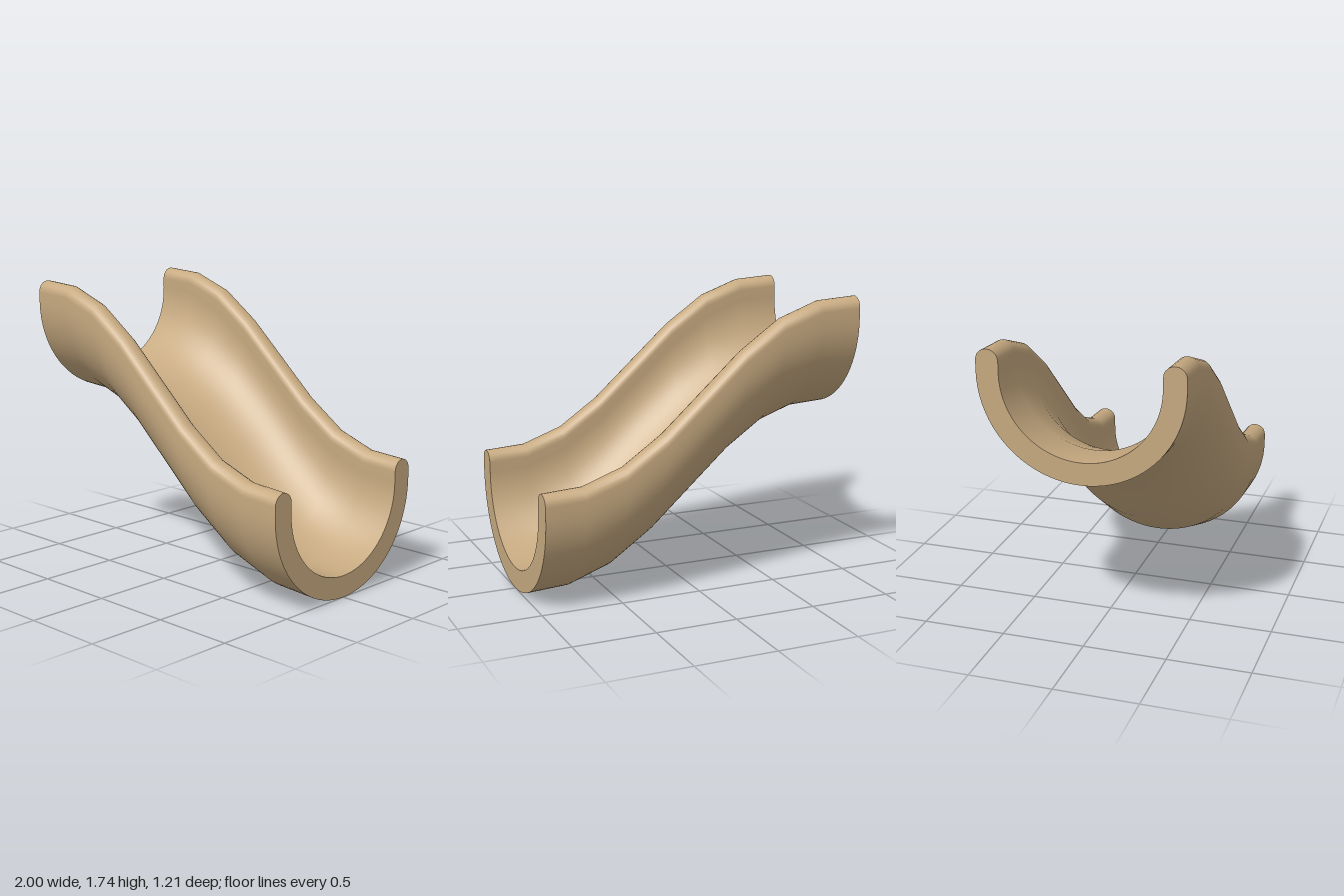
import * as THREE from 'three';

const OUTER = 0.604, INNER = 0.47, CENTRE = 0.606, STRAIGHT = 0.067;

// Height of the channel at nine stations, from the high end to the low end
const DROP = [1.005, 0.99, 0.9, 0.727, 0.5025, 0.278, 0.105, 0.015, 0];

// Closed U-shaped cross-section with rounded rims, counter-clockwise
function channelProfile() {
  const points = [];
  const arc = (cx, cy, r, from, to, n) => {
    for (let i = 0; i <= n; i++) {
      const a = from + ((to - from) * i) / n;
      points.push(new THREE.Vector2(cx + r * Math.cos(a), cy + r * Math.sin(a)));
    }
  };
  const rim = (OUTER + INNER) / 2, rimRadius = (OUTER - INNER) / 2;
  arc(0, CENTRE, OUTER, Math.PI, Math.PI * 2, 40);
  arc(rim, CENTRE + STRAIGHT, rimRadius, 0, Math.PI, 10);
  arc(0, CENTRE, INNER, 0, -Math.PI, 40);
  arc(-rim, CENTRE + STRAIGHT, rimRadius, 0, Math.PI, 10);
  return points;
}

// Sweep the section along the S-curve, keeping it upright
function sweepChannel(profile) {
  const n = profile.length, position = [], index = [];
  DROP.forEach((drop, i) => {
    const x = -1 + (2 * i) / (DROP.length - 1);
    for (const p of profile) position.push(x, p.y + drop, -p.x);
  });
  for (let i = 0; i < DROP.length - 1; i++) {
    for (let j = 0; j < n; j++) {
      const a = i * n + j, b = i * n + ((j + 1) % n);
      index.push(a, b, b + n, a, b + n, a + n);
    }
  }
  const geometry = new THREE.BufferGeometry();
  geometry.setAttribute('position', new THREE.Float32BufferAttribute(position, 3));
  geometry.setIndex(index);
  geometry.computeVertexNormals();
  return geometry;
}

export function createModel() {
  const group = new THREE.Group();
  group.name = 'curvedChannel';
  const tan = new THREE.MeshStandardMaterial({ color: 0xc6a980 });
  tan.name = 'tan';
  const profile = channelProfile();

  const add = (name, geometry) => {
    const mesh = new THREE.Mesh(geometry, tan);
    mesh.name = name;
    group.add(mesh);
    return mesh;
  };

  add('channel', sweepChannel(profile));

  // Flat end faces
  const face = new THREE.ShapeGeometry(new THREE.Shape(profile));
  const low = add('lowEnd', face);
  low.rotation.y = Math.PI / 2;
  low.position.x = 1;
  const high = add('highEnd', face);
  high.rotation.y = -Math.PI / 2;
  high.position.set(-1, DROP[0], 0);

  return group;
}
